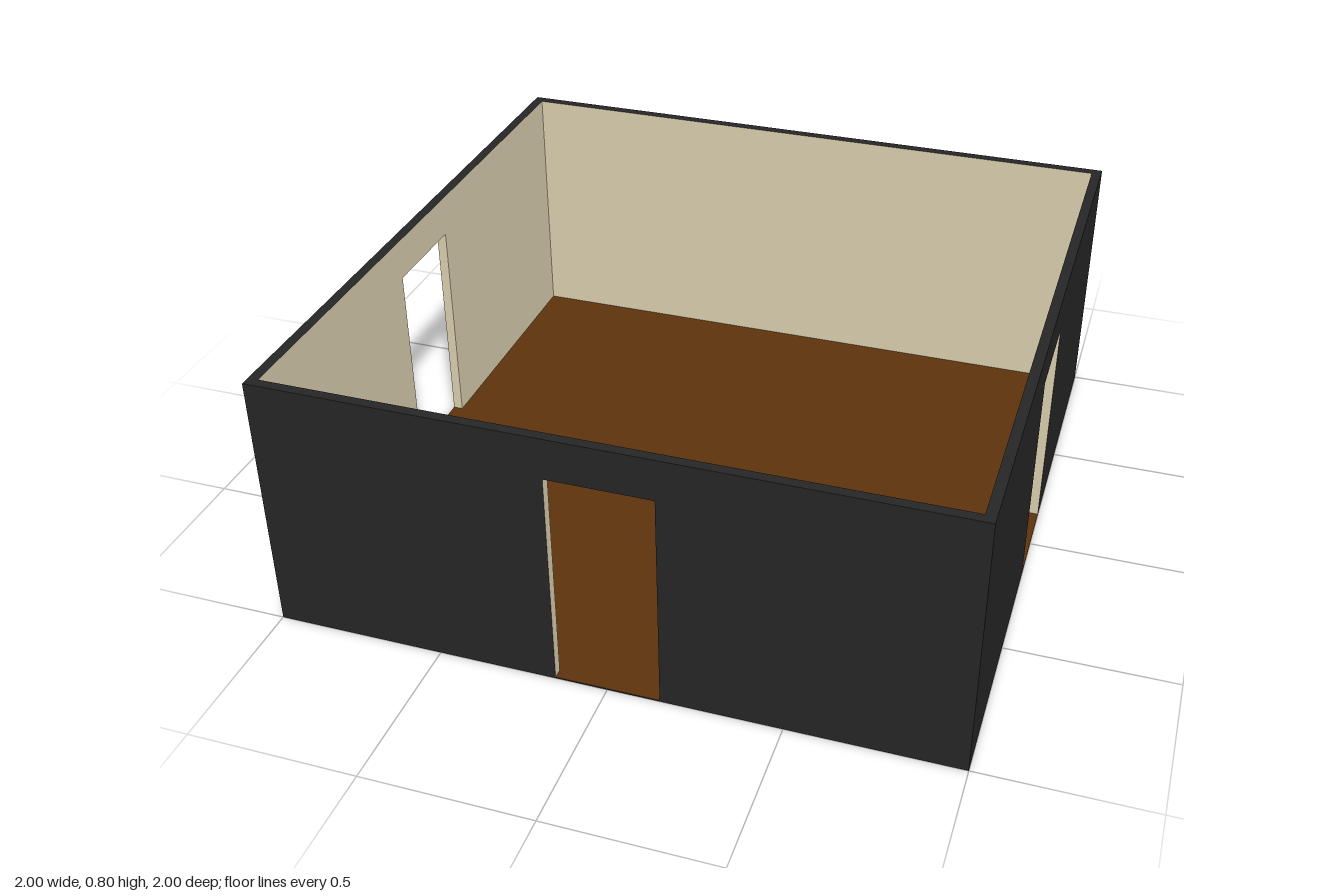
import * as THREE from 'three';

const HEIGHT = 0.8, THICK = 0.03, DOOR_HALF = 0.152, DOOR_TOP = 0.675, FLOOR = 0.004;

const dark = new THREE.MeshStandardMaterial({ color: 0x262626 });
const cream = new THREE.MeshStandardMaterial({ color: 0xdcd0b0 });
const brown = new THREE.MeshStandardMaterial({ color: 0x5e340d });

// Box from min/max corners; materials in the order +x, -x, +y, -y, +z, -z
function block(name, [x0, y0, z0], [x1, y1, z1], materials) {
  const geometry = new THREE.BoxGeometry(x1 - x0, y1 - y0, z1 - z0);
  geometry.translate((x0 + x1) / 2, (y0 + y1) / 2, (z0 + z1) / 2);
  const mesh = new THREE.Mesh(geometry, materials);
  mesh.name = name;
  return mesh;
}

// Wall facing +z: dark outside and on top, cream inside and in the doorway
function wall(name, half, hasDoor) {
  const group = new THREE.Group();
  group.name = name;
  const inner = 1 - THICK;
  if (!hasDoor) {
    group.add(block('solidPanel', [-half, 0, inner], [half, HEIGHT, 1], [dark, dark, dark, dark, dark, cream]));
    return group;
  }
  group.add(
    block('pierA', [-half, 0, inner], [-DOOR_HALF, HEIGHT, 1], [cream, dark, dark, dark, dark, cream]),
    block('pierB', [DOOR_HALF, 0, inner], [half, HEIGHT, 1], [dark, cream, dark, dark, dark, cream]),
    block('lintel', [-DOOR_HALF, DOOR_TOP, inner], [DOOR_HALF, HEIGHT, 1], [cream, cream, dark, cream, dark, cream]),
    block('threshold', [-DOOR_HALF, 0, inner], [DOOR_HALF, FLOOR, 1], [brown, brown, brown, dark, dark, brown])
  );
  return group;
}

export function createModel() {
  const room = new THREE.Group();
  room.name = 'room';
  const inner = 1 - THICK;

  room.add(block('floor', [-inner, 0, -inner], [inner, FLOOR, inner], Array(6).fill(brown)));

  // Front and back walls run the full width; side walls fit between them
  const walls = [
    ['frontWall', 1, true],
    ['leftWall', inner, true],
    ['backWall', 1, false],
    ['rightWall', inner, true],
  ];
  walls.forEach(([name, half, hasDoor], i) => {
    const w = wall(name, half, hasDoor);
    w.rotation.y = i * Math.PI / 2;
    room.add(w);
  });
  return room;
}
